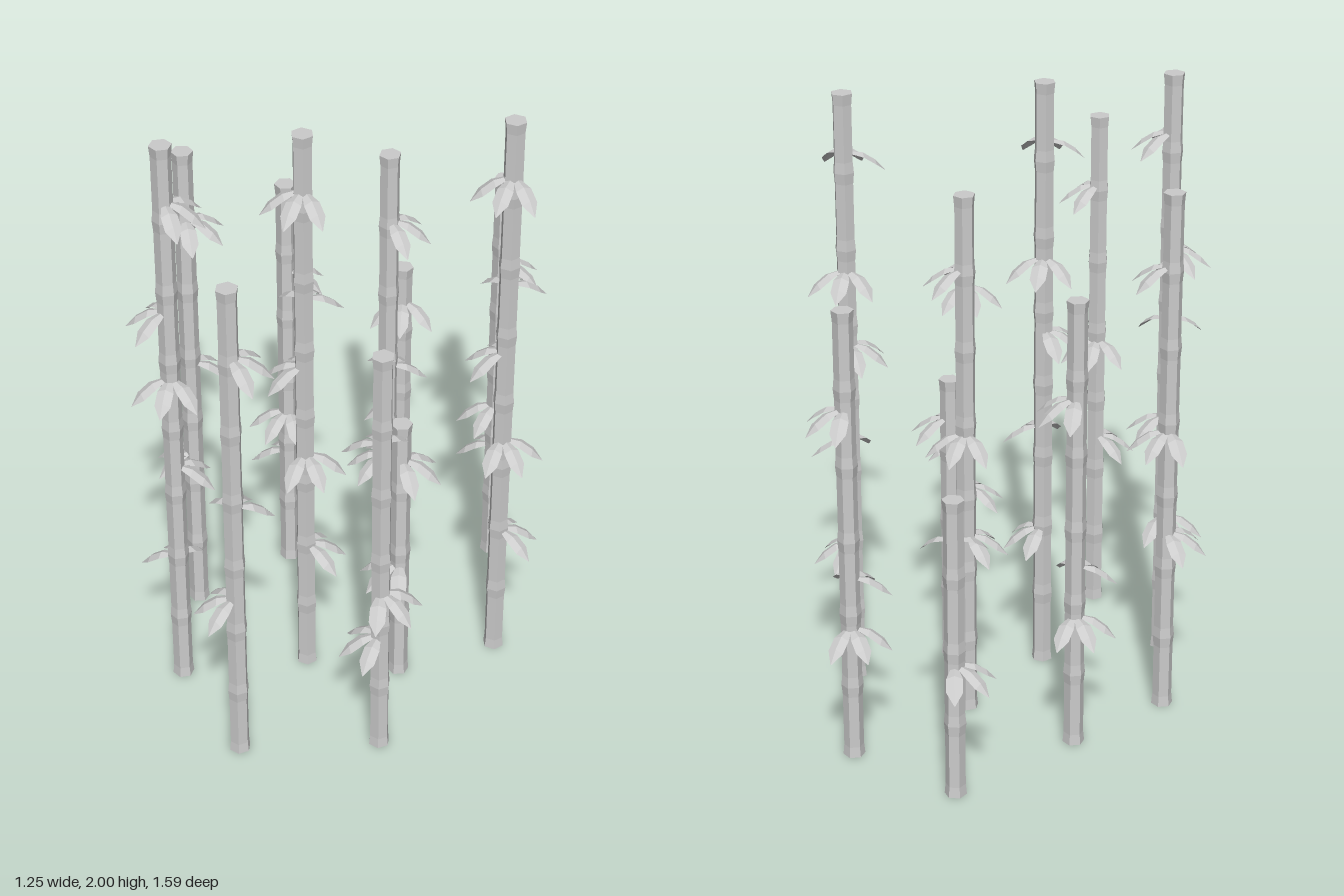
import * as THREE from 'three';

const caneMaterial = new THREE.MeshStandardMaterial({ color: 0xcccccc, flatShading: true });
const leafMaterial = new THREE.MeshStandardMaterial({ color: 0xcccccc, flatShading: true, side: THREE.DoubleSide });
const rad = THREE.MathUtils.degToRad;

// Six-sided cane of 0.25-high segments, pinched between the joints
function caneGeometry(height) {
  const wide = 0.0345, slim = 0.031, step = 0.25, points = [new THREE.Vector2(0, 0)];
  for (let y = 0; y < height - 0.01; y += step) {
    points.push(
      new THREE.Vector2(wide, y),
      new THREE.Vector2(slim, y + 0.035),
      new THREE.Vector2(slim, y + step - 0.035)
    );
  }
  points.push(new THREE.Vector2(wide, height), new THREE.Vector2(0, height));
  return new THREE.LatheGeometry(points, 6);
}

// Drooping pointed leaf with a raised midrib: [reach, height, half width] per section
function leafGeometry() {
  const sections = [[0.022, 0.03, 0.012], [0.06, 0.022, 0.025], [0.098, -0.004, 0.025], [0.13, -0.038, 0.001]];
  const positions = [], index = [];
  for (const [reach, y, half] of sections) {
    positions.push(-half, y - half * 0.25, reach, 0, y + half * 0.15, reach, half, y - half * 0.25, reach);
  }
  for (let i = 0; i < sections.length - 1; i++) {
    for (let j = 0; j < 2; j++) {
      const a = i * 3 + j, b = a + 1, c = a + 3, d = a + 4;
      index.push(a, c, b, b, c, d);
    }
  }
  const geometry = new THREE.BufferGeometry();
  geometry.setAttribute('position', new THREE.Float32BufferAttribute(positions, 3));
  geometry.setIndex(index);
  geometry.computeVertexNormals();
  return geometry;
}

// Four kinds of stalk; sprays are [height, heading in degrees from +z towards +x]
const kinds = {
  tall: { height: 2, turn: 30, sprays: [[1.78, 0], [1.4, 190], [1.155, 275], [0.82, 52], [0.46, 125]] },
  high: { height: 1.75, turn: 0, sprays: [[1.485, 90], [0.94, 167], [0.59, 275]] },
  middle: { height: 1.5, turn: 0, sprays: [[1.155, 140], [0.59, 350], [0.42, 228]] },
  short: { height: 1, turn: 0, sprays: [[0.835, 95], [0.42, 330]] }
};

// Placement in the grove: kind, x, z, rotation in degrees
const grove = [
  ['short', -0.1, -0.705, -75],
  ['middle', 0.285, -0.61, 0],
  ['middle', -0.325, -0.285, 0],
  ['high', 0.067, -0.21, 12],
  ['tall', 0.485, -0.157, 0],
  ['high', -0.507, 0.042, 0],
  ['tall', -0.04, 0.172, 0],
  ['short', 0.25, 0.09, 0],
  ['tall', -0.378, 0.4, 98],
  ['middle', 0.337, 0.43, 80],
  ['high', -0.05, 0.64, 20]
];

export function createModel() {
  const model = new THREE.Group();
  model.name = 'bambooGrove';
  const leaf = leafGeometry();
  const canes = {};
  for (const name in kinds) canes[name] = caneGeometry(kinds[name].height);

  for (const [name, x, z, rotation] of grove) {
    const kind = kinds[name];
    const stalk = new THREE.Group();
    stalk.name = name + 'Stalk';
    stalk.position.set(x, 0, z);
    stalk.rotation.y = rad(rotation);

    const cane = new THREE.Mesh(canes[name], caneMaterial);
    cane.name = 'cane';
    cane.rotation.y = rad(kind.turn);
    stalk.add(cane);

    // Each spray fans out three leaves
    for (const [y, heading] of kind.sprays) {
      const spray = new THREE.Group();
      spray.name = 'leafSpray';
      spray.position.y = y;
      spray.rotation.y = rad(heading);
      for (const fan of [-52, 0, 52]) {
        const mesh = new THREE.Mesh(leaf, leafMaterial);
        mesh.name = 'leaf';
        mesh.rotation.y = rad(fan);
        spray.add(mesh);
      }
      stalk.add(spray);
    }
    model.add(stalk);
  }
  return model;
}
